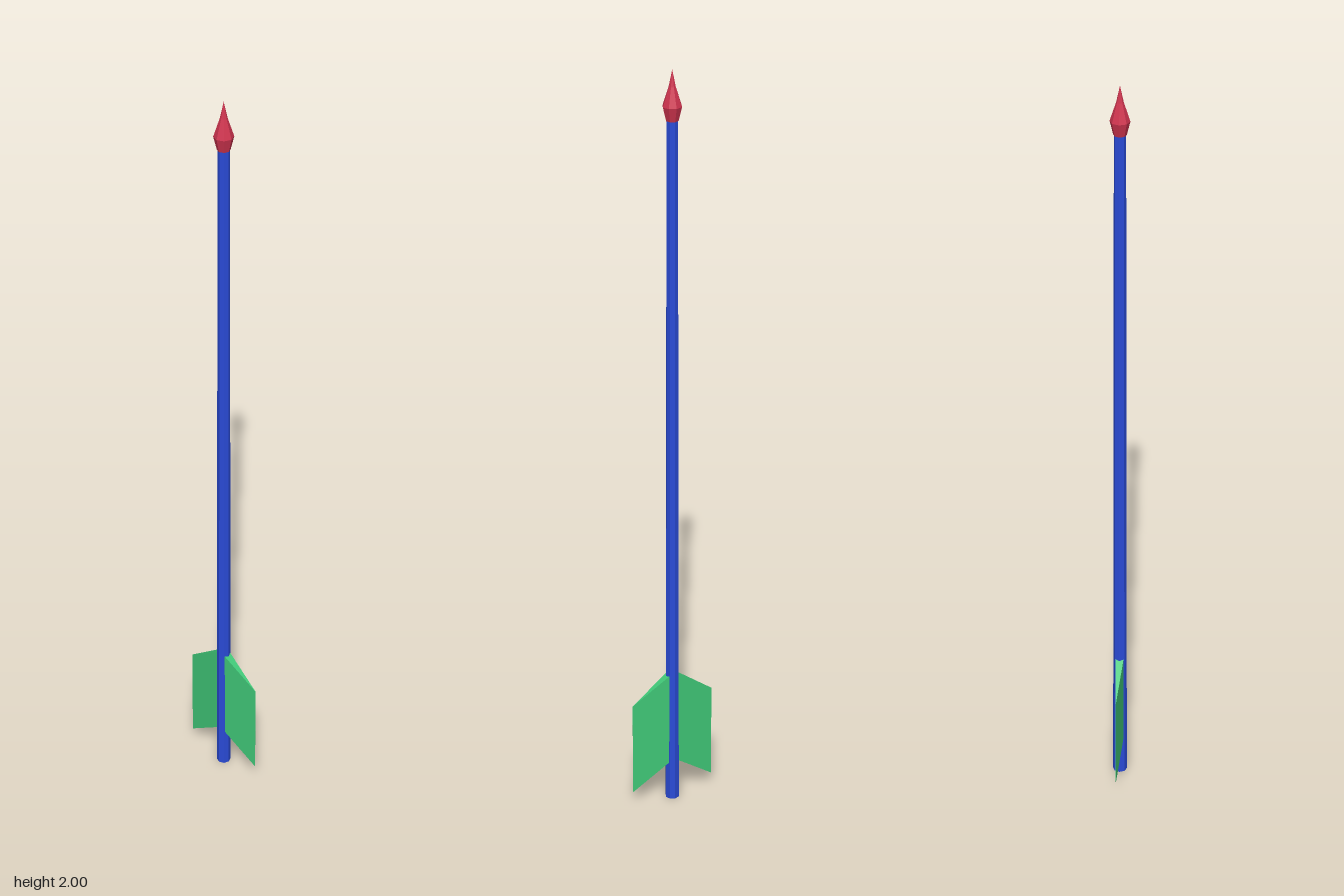
import * as THREE from 'three';

const mat = (color) => new THREE.MeshStandardMaterial({ color, flatShading: true });

// Vane: chevron wedge, thick at the shaft and sharp at its outer edge
function vaneGeometry() {
  const g = new THREE.BoxGeometry(0.114, 0.26, 0.024);
  g.translate(0.057, 0.24, 0);
  const p = g.attributes.position;
  for (let i = 0; i < p.count; i++) {
    const t = p.getX(i) / 0.114;
    p.setY(i, p.getY(i) + 0.01 - 0.08 * t);
    p.setZ(i, p.getZ(i) * (1 - 0.98 * t));
  }
  g.computeVertexNormals();
  return g;
}

export function createModel() {
  const group = new THREE.Group();
  const add = (name, geometry, material) => {
    const mesh = new THREE.Mesh(geometry, material);
    mesh.name = name;
    group.add(mesh);
    return mesh;
  };

  // Slightly tapered shaft
  const shaft = add('shaft', new THREE.CylinderGeometry(0.0145, 0.0185, 1.88, 8), mat(0x2a4bd7));
  shaft.position.y = 0.94;

  // Pointed head with a slim, slightly concave tip
  const profile = [[0, 1.875], [0.016, 1.875], [0.0245, 1.91], [0.009, 1.958], [0, 2]];
  add('arrowHead', new THREE.LatheGeometry(profile.map(([x, y]) => new THREE.Vector2(x, y)), 8), mat(0xd0344f));

  // Pair of vanes
  const green = mat(0x40c878);
  add('leftVane', vaneGeometry(), green);
  add('rightVane', vaneGeometry(), green).rotation.y = Math.PI;

  return group;
}
